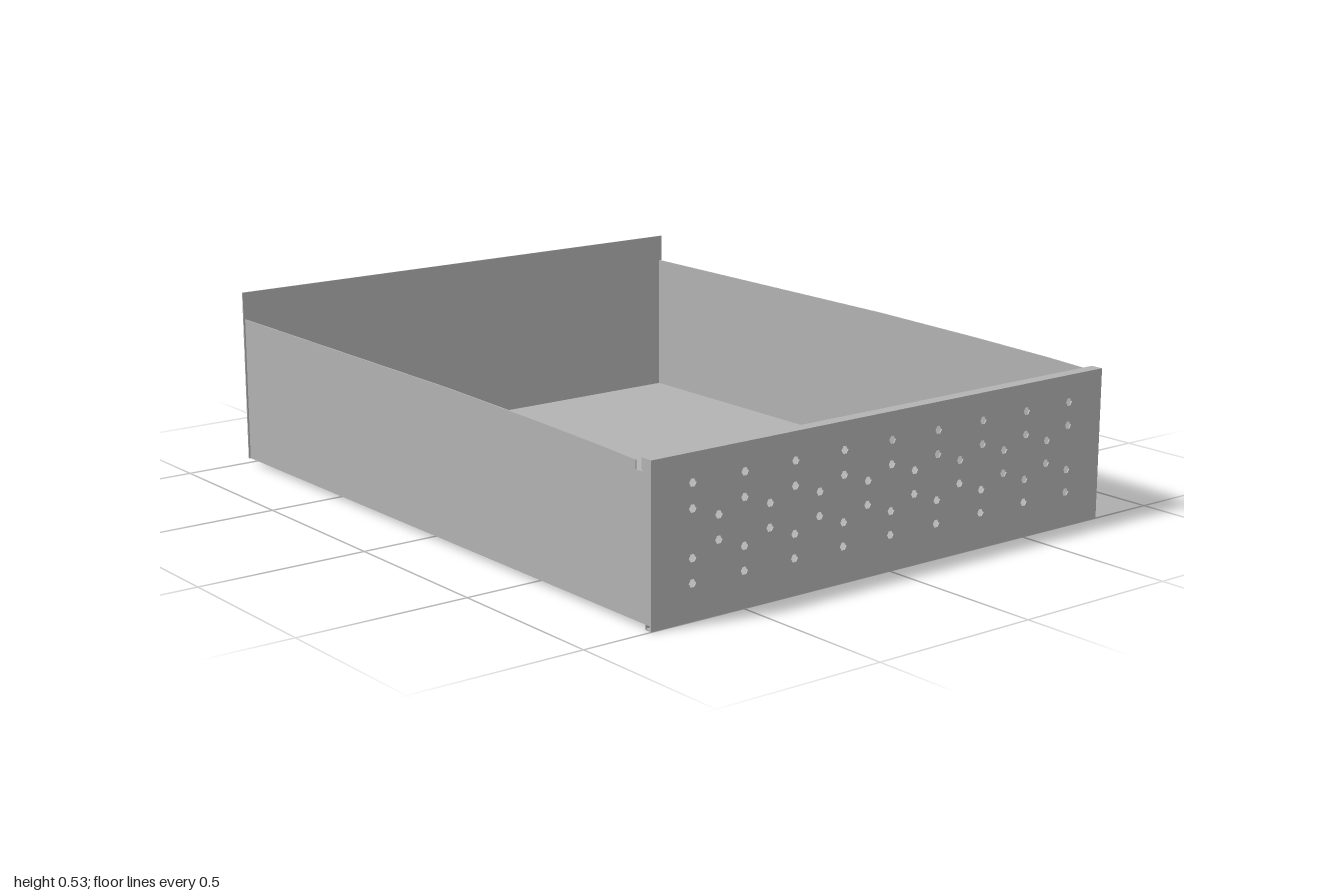
import * as THREE from 'three';

const T = 0.004; // sheet thickness

export function createModel() {
  const group = new THREE.Group();
  const metal = new THREE.MeshStandardMaterial({ color: 0xb2b2b2 });
  metal.name = 'grey sheet metal';

  const add = (name, geometry) => {
    const mesh = new THREE.Mesh(geometry, metal);
    mesh.name = name;
    group.add(mesh);
    return mesh;
  };
  // Box given by its limits on each axis
  const sheet = (name, x0, x1, y0, y1, z0, z1) =>
    add(name, new THREE.BoxGeometry(x1 - x0, y1 - y0, z1 - z0))
      .position.set((x0 + x1) / 2, (y0 + y1) / 2, (z0 + z1) / 2);

  const W = 0.795; // half width of the tray

  // Floor and tall rear panel
  sheet('floor', -W, W, 0.014, 0.014 + T, -1, 0.978);
  sheet('backPanel', -0.8, 0.8, 0.014, 0.53, -1, -1 + T);

  // Side walls: profile in (z, y), notched behind the front rail
  const profile = [
    [-0.998, 0.014], [0.998, 0.014], [0.998, 0.432], [0.966, 0.432], [0.966, 0.4],
    [0.938, 0.4], [0.938, 0.424], [0.8, 0.43], [0.5, 0.438], [0.1, 0.445], [-0.998, 0.447],
  ];
  const side = new THREE.Shape(profile.map(([z, y]) => new THREE.Vector2(z, y)));
  const sideGeometry = new THREE.ExtrudeGeometry(side, { depth: T, bevelEnabled: false });
  sideGeometry.rotateY(-Math.PI / 2);
  add('leftWall', sideGeometry).position.x = W;
  add('rightWall', sideGeometry).position.x = -W + T;

  // Front panel with staggered ventilation holes
  const front = new THREE.Shape();
  front.moveTo(-W, 0).lineTo(W, 0).lineTo(W, 0.435).lineTo(-W, 0.435).closePath();
  const addHoles = (y, count) => {
    for (let i = 0; i < count; i++) {
      const x = (i - (count - 1) / 2) * 0.1665;
      const points = [];
      for (let k = 0; k < 6; k++) {
        const a = -k * Math.PI / 3;
        points.push(new THREE.Vector2(x + 0.012 * Math.cos(a), y + 0.012 * Math.sin(a)));
      }
      front.holes.push(new THREE.Path(points));
    }
  };
  for (const y of [0.1, 0.165, 0.292, 0.358]) addHoles(y, 9);
  for (const y of [0.197, 0.262]) addHoles(y, 8);
  add('frontPanel', new THREE.ExtrudeGeometry(front, { depth: T, bevelEnabled: false }))
    .position.z = 1 - T;

  // Folded rail along the top of the front panel
  sheet('topFlange', -W, W, 0.435 - T, 0.435, 0.962, 1 - T);
  sheet('topFlangeLip', -W, W, 0.402, 0.435 - T, 0.962, 0.962 + T);

  // Folded return under the front of the floor
  sheet('bottomFlange', -W, W, 0, T, 0.975, 1 - T);
  sheet('bottomFlangeLip', -W, W, T, 0.018, 0.975, 0.975 + T);

  return group;
}
